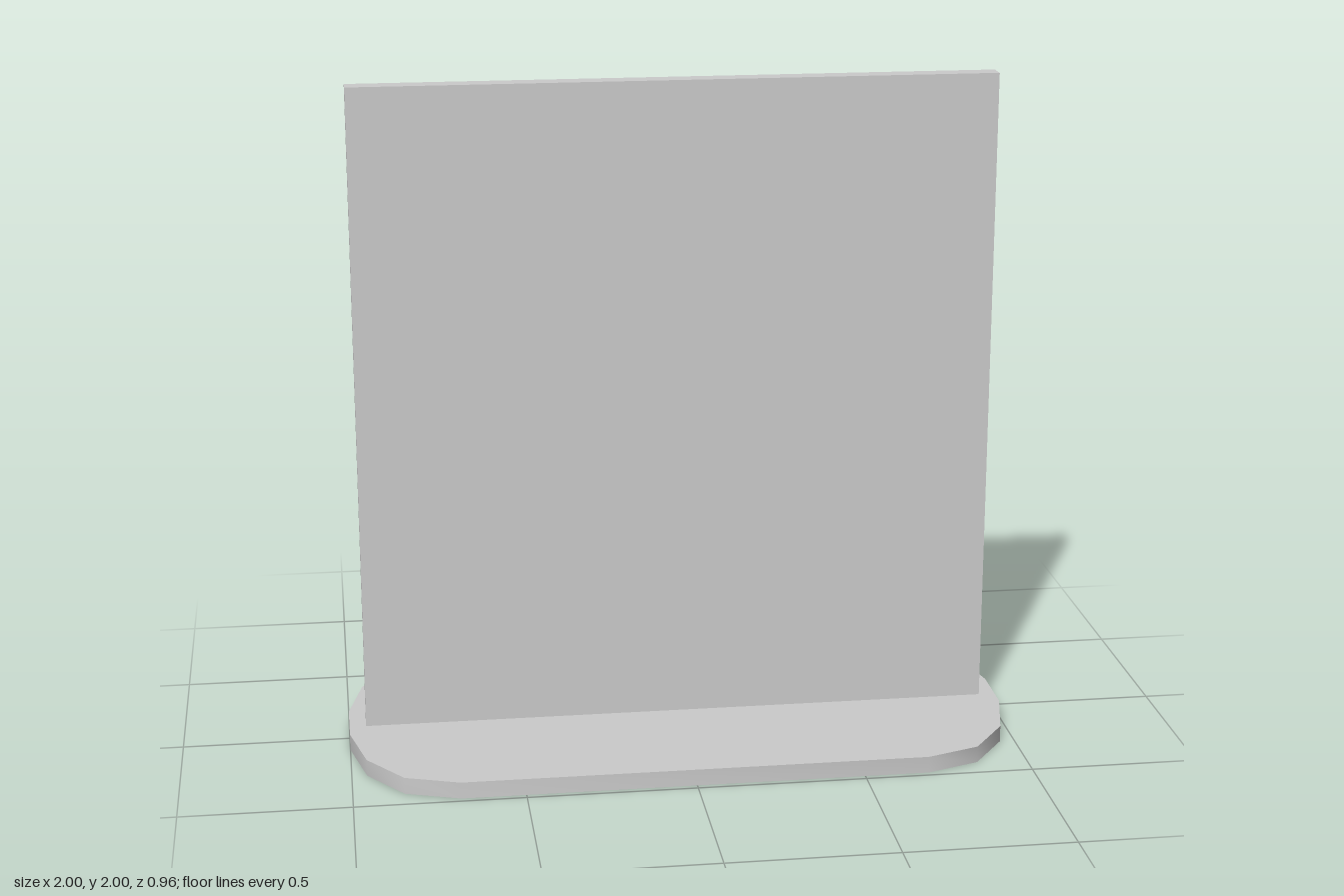
import * as THREE from 'three';
import { toCreasedNormals } from 'three/addons/utils/BufferGeometryUtils.js';

const BASE_HEIGHT = 0.05;
const material = new THREE.MeshStandardMaterial({ color: 0xcccccc });

// One corner of the base outline, mirrored into all four quadrants
function baseOutline() {
  const corner = [[1, 0.09], [0.955, 0.285], [0.85, 0.427], [0.69, 0.482]];
  const reversed = [...corner].reverse();
  const place = (list, sx, sz) => list.map(([x, z]) => new THREE.Vector2(x * sx, z * sz));
  return new THREE.Shape([
    ...place(corner, 1, 1),
    ...place(reversed, -1, 1),
    ...place(corner, -1, -1),
    ...place(reversed, 1, -1),
  ]);
}

export function createModel() {
  const model = new THREE.Group();
  model.name = 'standingPanel';

  // Flat base plate with a smoothly shaded rim and sharp top and bottom edges
  const plate = new THREE.ExtrudeGeometry(baseOutline(), { depth: BASE_HEIGHT, bevelEnabled: false });
  plate.rotateX(-Math.PI / 2);
  const base = new THREE.Mesh(toCreasedNormals(plate, 0.75), material);
  base.name = 'base';
  model.add(base);

  // Upright panel standing on the base
  const height = 2 - BASE_HEIGHT;
  const panel = new THREE.Mesh(new THREE.BoxGeometry(1.9, height, 0.06), material);
  panel.name = 'panel';
  panel.position.y = BASE_HEIGHT + height / 2;
  model.add(panel);

  return model;
}
